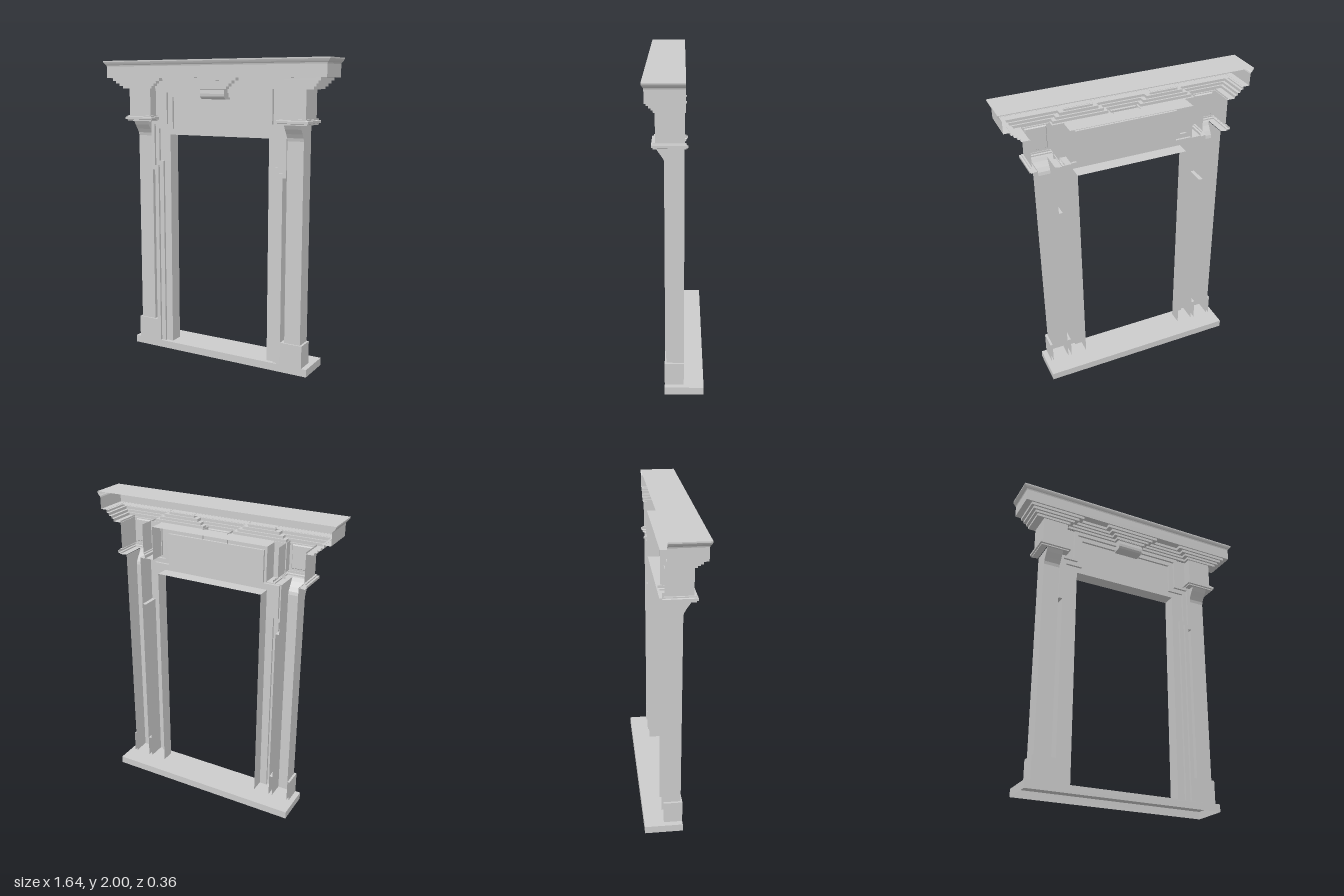
import * as THREE from 'three';

const BACK = -0.055;
const material = new THREE.MeshStandardMaterial({ color: 0xcccccc, side: THREE.DoubleSide, flatShading: true });

// Skin a row of equally long point rings with flat quads, skipping collapsed triangles.
function loft(name, rings) {
  const pos = [];
  const tri = (a, b, c) => {
    const area = new THREE.Vector3().crossVectors(b.clone().sub(a), c.clone().sub(a)).length();
    if (area > 1e-9) for (const p of [a, b, c]) pos.push(p.x, p.y, p.z);
  };
  const v = rings.map((ring) => ring.map((p) => new THREE.Vector3(...p)));
  for (let i = 0; i + 1 < v.length; i++) {
    for (let j = 0; j + 1 < v[i].length; j++) {
      tri(v[i][j], v[i][j + 1], v[i + 1][j + 1]);
      tri(v[i][j], v[i + 1][j + 1], v[i + 1][j]);
    }
  }
  const geometry = new THREE.BufferGeometry();
  geometry.setAttribute('position', new THREE.Float32BufferAttribute(pos, 3));
  geometry.computeVertexNormals();
  const mesh = new THREE.Mesh(geometry, material);
  mesh.name = name;
  return mesh;
}

// Three-sided plan, open at the back.
const bay = (cx, half, front, y, back = BACK) => [
  [cx - half, y, back], [cx - half, y, front], [cx + half, y, front], [cx + half, y, back],
];

// Closed upright rectangle facing the front.
const rect = (cx, cy, w, h, z) => [
  [cx - w, cy - h, z], [cx + w, cy - h, z], [cx + w, cy + h, z], [cx - w, cy + h, z], [cx - w, cy - h, z],
];

function createSill() {
  const ring = (x, y, z0, z1) => [[-x, y, z0], [-x, y, z1], [x, y, z1], [x, y, z0], [-x, y, z0]];
  return loft('sill', [
    ring(0.665, 0, -0.18, 0.065), ring(0.665, 0.05, -0.18, 0.065), ring(0.665, 0.05, -0.06, -0.06),
  ]);
}

// Eared casing: nested stepped bands, the head panel and the opening's lining.
function createCasing() {
  const outline = (half, z) => [
    ...half.map(([x, y]) => [-x, y, z]),
    ...half.slice().reverse().map(([x, y]) => [x, y, z]),
  ];
  const eared = (low, earY, ear, shoulderY, top, topY) => [
    [low, 0.05], [low, earY], [ear, earY], [ear, shoulderY], [top, shoulderY], [top, topY],
  ];
  const outer = eared(0.48, 1.27, 0.505, 1.6, 0.405, 1.82);
  const middle = eared(0.452, 1.3, 0.48, 1.58, 0.378, 1.79);
  const inner = eared(0.42, 1.33, 0.452, 1.55, 0.341, 1.76);
  const opening = [[0.37, 0.05], [0.37, 1.33], [0.37, 1.33], [0.37, 1.51], [0.341, 1.51], [0.341, 1.51]];
  return loft('casing', [
    outline(outer, BACK), outline(outer, 0.065),
    outline(middle, 0.065), outline(middle, 0.05),
    outline(inner, 0.05), outline(inner, 0.035),
    outline(opening, 0.035), outline(opening, BACK),
  ]);
}

function createPilaster() {
  const group = new THREE.Group();
  const cx = 0.56;

  // Shaft with its flared corbel at the top
  group.add(loft('shaft', [
    [0.05, 0.055], [1.5, 0.055], [1.52, 0.06], [1.545, 0.075], [1.575, 0.096], [1.6, 0.11],
  ].map(([y, z]) => bay(cx, 0.055, z, y))));

  group.add(loft('plinth', [
    bay(0.555, 0.075, 0.065, 0.05), bay(0.555, 0.075, 0.065, 0.2), bay(cx, 0.055, 0.055, 0.2),
  ]));

  // Moulded shelf under the capital block
  const shelf = [
    [0.055, 0.1, 1.6, BACK], [0.097, 0.122, 1.6, -0.065], [0.097, 0.122, 1.608, -0.065],
    [0.107, 0.132, 1.611, -0.074], [0.107, 0.132, 1.626, -0.074],
    [0.097, 0.122, 1.629, -0.065], [0.097, 0.122, 1.636, -0.065], [0.08, 0.105, 1.636, BACK],
  ];
  group.add(loft('capitalShelf', shelf.map(([half, z, y, back]) => bay(0.564, half, z, y, back))));

  group.add(loft('capitalBlock', [bay(0.564, 0.085, 0.11, 1.63), bay(0.564, 0.085, 0.11, 1.825)]));

  // Framed, sunk panel on the face of the block
  const cy = 1.7275;
  group.add(loft('capitalPanel', [
    rect(0.564, cy, 0.085, 0.0975, 0.11), rect(0.564, cy, 0.069, 0.077, 0.11),
    rect(0.564, cy, 0.063, 0.071, 0.1), rect(0.564, cy, 0, 0, 0.1),
  ]));

  // Plain field between the capital and the casing head
  group.add(loft('sidePanel', [
    [[0.4, 1.6, 0.045], [0.485, 1.6, 0.045]], [[0.4, 1.825, 0.045], [0.485, 1.825, 0.045]],
  ]));
  return group;
}

// Stepped bed mould that breaks forward over the capitals and the keystone.
function createBedMould() {
  const plan = (y, x, z, spread) => {
    const recess = z - 0.04;
    const half = [
      [x, -0.06], [x, z], [0.478 - spread, z], [0.478 - spread, recess],
      [0.092 + spread, recess], [0.092 + spread, z],
    ];
    return [
      ...half.map(([px, pz]) => [-px, y, pz]),
      ...half.slice().reverse().map(([px, pz]) => [px, y, pz]),
    ];
  };
  const steps = [
    [1.815, 0.70, 0.118, 0.015], [1.832, 0.718, 0.13, 0.04],
    [1.848, 0.737, 0.142, 0.068], [1.866, 0.755, 0.153, 0.1],
  ];
  const rings = [plan(1.815, 0.645, 0.1, 0)];
  steps.forEach(([y, x, z, spread], i) => {
    const top = i < steps.length - 1 ? steps[i + 1][0] : 1.886;
    rings.push(plan(y, x, z, spread), plan(top, x, z, spread));
  });
  return loft('bedMould', rings);
}

function createCornice() {
  const profile = [
    [0.74, 0.1, 1.885], [0.797, 0.162, 1.885], [0.797, 0.162, 1.962], [0.8, 0.164, 1.97],
    [0.807, 0.168, 1.976], [0.813, 0.172, 1.984], [0.818, 0.175, 1.992], [0.818, 0.175, 2],
    [0.818, -0.06, 2],
  ];
  return loft('cornice', profile.map(([x, z, y]) => bay(0, x, z, y, -0.06)));
}

function createKeystone() {
  const profile = [
    [0.116, 1.825], [0.116, 1.812], [0.111, 1.808], [0.113, 1.785], [0.111, 1.767],
    [0.102, 1.755], [0.088, 1.75], [0.035, 1.75],
  ];
  return loft('keystone', profile.map(([z, y]) => bay(0, 0.088, z, y, 0.035)));
}

export function createModel() {
  const model = new THREE.Group();
  model.name = 'doorSurround';
  model.add(createSill(), createCasing(), createBedMould(), createCornice(), createKeystone());
  for (const side of [1, -1]) {
    const pilaster = createPilaster();
    pilaster.name = side > 0 ? 'leftPilaster' : 'rightPilaster';
    pilaster.scale.x = side;
    model.add(pilaster);
  }
  return model;
}
